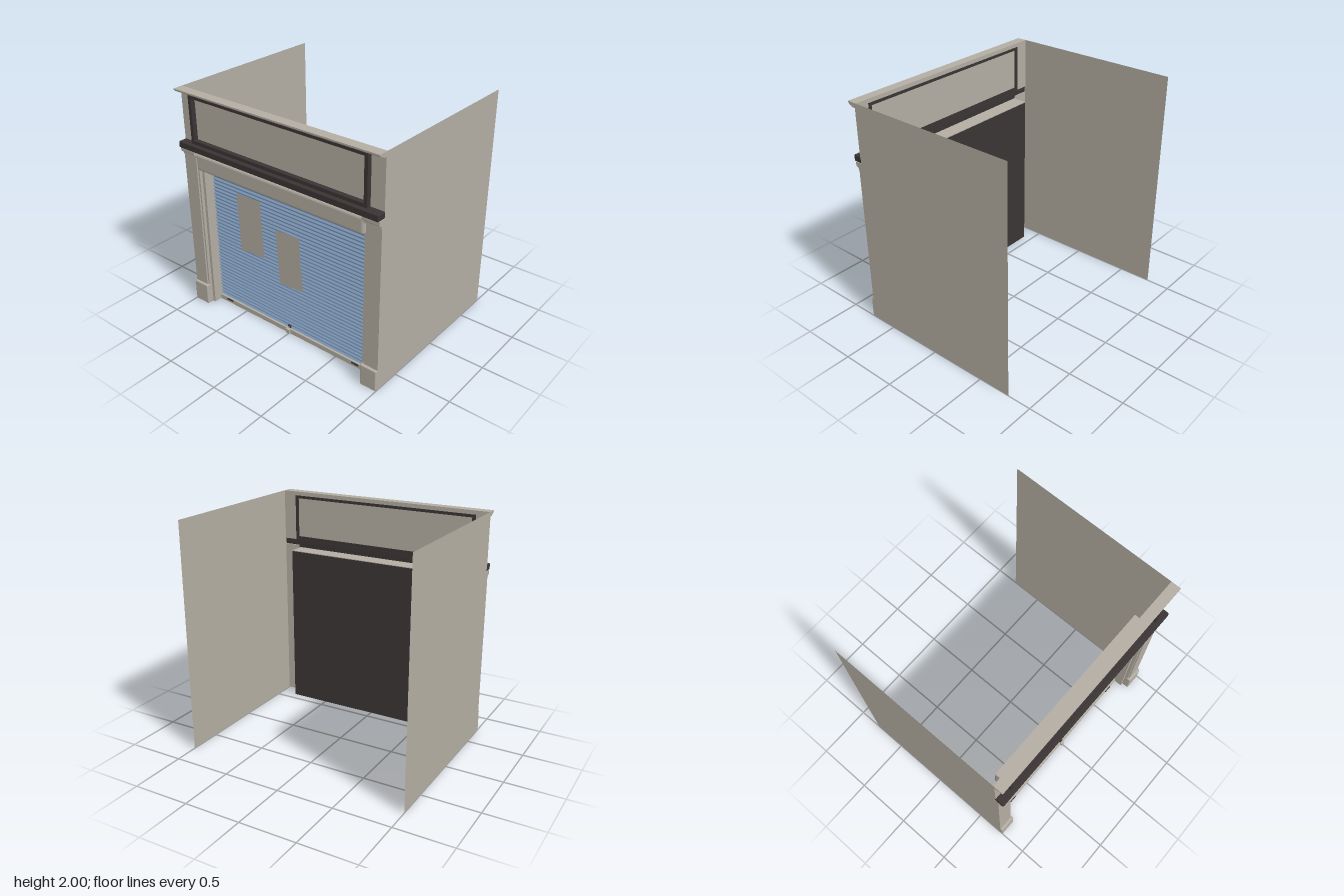
import * as THREE from 'three';
import { RoundedBoxGeometry } from 'three/addons/geometries/RoundedBoxGeometry.js';

const mat = (name, color, side = THREE.FrontSide) => {
  const m = new THREE.MeshStandardMaterial({ color, side });
  m.name = name;
  return m;
};

export function createModel() {
  const root = new THREE.Group();
  root.name = 'shopFront';
  const stone = mat('stone', 0xb3ada2, THREE.DoubleSide);
  const dark = mat('darkTrim', 0x3a3534);
  const blue = mat('shutterBlue', 0x7b95b4, THREE.DoubleSide);

  const add = (name, geo, material) => {
    const m = new THREE.Mesh(geo, material);
    m.name = name;
    root.add(m);
    return m;
  };
  // box given by its limits on each axis; r rounds the edges
  const box = (name, material, [x0, x1], [y0, y1], [z0, z1], r = 0) => {
    const size = [x1 - x0, y1 - y0, z1 - z0];
    const geo = r ? new RoundedBoxGeometry(...size, 3, r) : new THREE.BoxGeometry(...size);
    geo.translate((x0 + x1) / 2, (y0 + y1) / 2, (z0 + z1) / 2);
    return add(name, geo, material);
  };
  // moulding: [z, y] section swept along x
  const moulding = (name, material, x0, x1, section) => {
    const shape = new THREE.Shape(section.map(([z, y]) => new THREE.Vector2(-z, y)));
    const geo = new THREE.ExtrudeGeometry(shape, { depth: x1 - x0, bevelEnabled: false });
    geo.rotateY(Math.PI / 2).translate(x0, 0, 0);
    return add(name, geo, material);
  };
  // x limits for either side
  const span = (s, a, b) => (s > 0 ? [a, b] : [-b, -a]);

  for (const s of [-1, 1]) {
    const side = s > 0 ? 'left' : 'right';
    // side wall, a thin sheet
    const wall = new THREE.PlaneGeometry(1.5, 2).rotateY(s * Math.PI / 2).translate(s, 1, -0.04);
    add(side + 'Wall', wall, stone);

    // pilaster: shaft, inner step, base and capital
    box(side + 'PillarShaft', stone, span(s, 0.865, 1), [0, 1.45], [0.705, 0.74]);
    box(side + 'PillarStep', stone, span(s, 0.85, 0.866), [0, 1.45], [0.69, 0.728]);
    box(side + 'PillarBase', stone, span(s, 0.848, 1), [0, 0.19], [0.705, 0.763], 0.009);
    moulding(side + 'Capital', stone, ...span(s, 0.845, 1), [
      [0.705, 1.425], [0.746, 1.425], [0.746, 1.443], [0.752, 1.45],
      [0.768, 1.457], [0.772, 1.465], [0.772, 1.495], [0.705, 1.495],
    ]);
    box(side + 'UpperPilaster', stone, span(s, 0.878, 1), [1.55, 1.965], [0.703, 0.715]);

    // shutter guide rail and sign frame upright
    box(side + 'GuideRail', stone, span(s, 0.824, 0.85), [0, 1.47], [0.584, 0.7]);
    box(side + 'SignFrameUpright', dark, span(s, 0.85, 0.88), [1.55, 1.965], [0.7, 0.755]);
    // pull handle in the bottom bar
    box(side + 'Handle', dark, span(s, 0.665, 0.737), [0.024, 0.041], [0.625, 0.637], 0.005);
  }

  // cornice along the top
  moulding('cornice', stone, -1, 1, [
    [0.703, 1.96], [0.745, 1.96], [0.752, 1.968], [0.775, 1.976],
    [0.782, 1.986], [0.79, 1.99], [0.79, 2], [0.703, 2],
  ]);

  // sign panel with its dark frame and ledge
  box('signPanel', stone, [-0.85, 0.85], [1.575, 1.945], [0.707, 0.713]);
  box('signFrameTop', dark, [-0.85, 0.85], [1.94, 1.965], [0.7, 0.755]);
  box('signFrameBottom', dark, [-0.85, 0.85], [1.55, 1.582], [0.7, 0.755]);
  box('ledge', dark, [-1, 1], [1.497, 1.552], [0.705, 0.789], 0.008);
  box('ledgeUnderTrim', dark, [-0.85, 0.85], [1.478, 1.5], [0.705, 0.755]);

  // shutter housing: dark back, stone top and rounded header
  box('shutterBack', dark, [-0.85, 0.85], [0, 1.466], [0.58, 0.585]);
  box('housingTop', stone, [-0.85, 0.85], [1.465, 1.472], [0.58, 0.71]);
  box('header', stone, [-0.855, 0.855], [1.318, 1.472], [0.63, 0.753], 0.028);

  // corrugated shutter
  const slats = 38, bottom = 0.045, height = 1.29;
  const sheet = new THREE.PlaneGeometry(1.65, height, 1, slats * 8);
  const p = sheet.attributes.position;
  for (let i = 0; i < p.count; i++) {
    const t = (p.getY(i) / height + 0.5) * slats;
    p.setZ(i, 0.607 + 0.008 * Math.cos(t * Math.PI * 2));
  }
  sheet.translate(0, bottom + height / 2, 0).computeVertexNormals();
  add('shutter', sheet, blue);

  // bottom bar with lock
  box('bottomBar', stone, [-0.824, 0.824], [0, 0.047], [0.586, 0.63], 0.005);
  moulding('lock', stone, -0.018, 0.018, [
    [0.62, 0.012], [0.65, 0.012], [0.65, 0.05], [0.635, 0.056], [0.62, 0.056],
  ]);
  box('lockHasp', dark, [-0.016, 0.016], [0.055, 0.078], [0.612, 0.628], 0.004);
  box('lockHaspFace', stone, [-0.009, 0.009], [0.055, 0.07], [0.626, 0.63]);

  // posted sheets of paper
  const papers = [
    [[-0.55, 1.15], [-0.285, 1.162], [-0.263, 0.636], [-0.527, 0.62]],
    [[-0.125, 0.957], [0.124, 0.97], [0.154, 0.473], [-0.094, 0.46]],
  ];
  papers.forEach((corners, i) => {
    const shape = new THREE.Shape(corners.map(([x, y]) => new THREE.Vector2(x, y)));
    add('poster' + (i + 1), new THREE.ShapeGeometry(shape).translate(0, 0, 0.617), stone);
  });

  return root;
}
